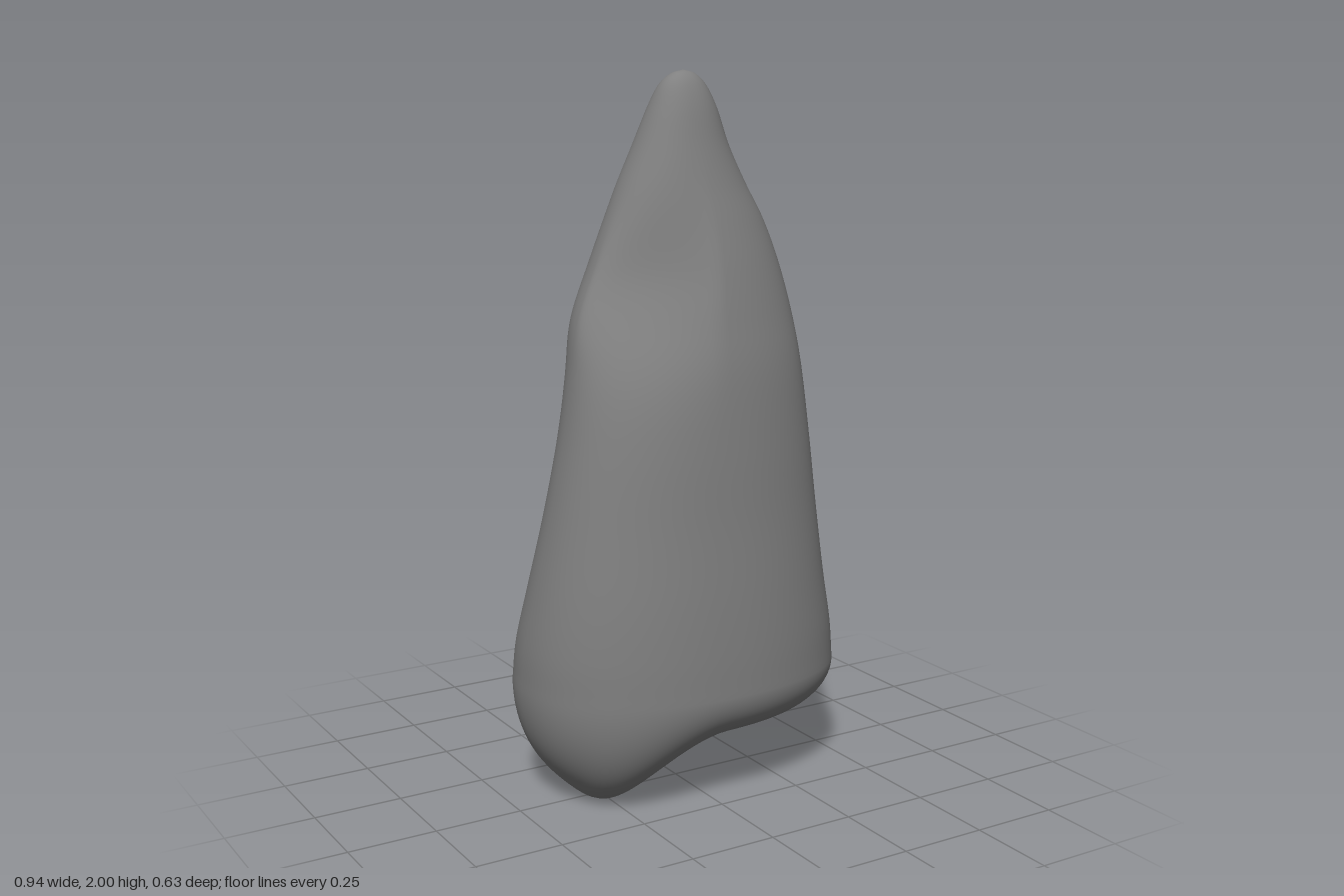
import * as THREE from 'three';
import { mergeVertices } from 'three/addons/utils/BufferGeometryUtils.js';

// Extents of the body from base to tip: y, left x, right x, front z, back z
const ROWS = [
  [0.33, -0.469, 0.467, 0.312, -0.302],
  [0.45, -0.464, 0.452, 0.308, -0.274],
  [0.6, -0.442, 0.42, 0.298, -0.226],
  [0.8, -0.406, 0.387, 0.28, -0.173],
  [1.0, -0.37, 0.36, 0.265, -0.14],
  [1.2, -0.334, 0.335, 0.245, -0.124],
  [1.34, -0.303, 0.315, 0.218, -0.127],
  [1.48, -0.243, 0.286, 0.185, -0.136],
  [1.6, -0.196, 0.247, 0.152, -0.134],
  [1.7, -0.157, 0.197, 0.123, -0.122],
  [1.8, -0.115, 0.15, 0.097, -0.099],
  [1.9, -0.075, 0.115, 0.073, -0.07],
  [1.96, -0.046, 0.084, 0.051, -0.043],
  [1.99, -0.014, 0.053, 0.029, -0.016],
  [2.0, 0.02, 0.02, 0.007, 0.007],
];
const SEG = 96, WALL = 90, CAP = 36;

const spline = new THREE.CubicInterpolant(ROWS.map((_, i) => i), ROWS.flat(), 5, new Float32Array(5));
const bell = (v, width) => Math.exp(-((v / width) ** 2));
const power = (v, e) => Math.sign(v) * Math.abs(v) ** e;

// Skewed oval section, squarer in front, with a soft slanted ridge across the back
function wallPoint(t, angle) {
  const [y, xl, xr, zf, zb] = spline.evaluate(t);
  const e = Math.sin(angle) > 0 ? 0.92 : 1;
  const c = power(Math.cos(angle), e), s = power(Math.sin(angle), e);
  const dx = c * (xr - xl) / 2;
  let x = (xl + xr) / 2 + dx;
  let z = (zf + zb) / 2 + s * (zf - zb) / 2 + dx * (0.1 - 0.08 * s);
  const ridge = bell(y - 1.48 - 0.35 * x, 0.19);
  z -= 0.03 * ridge * Math.max(0, -s);
  x -= 0.012 * ridge * Math.max(0, -c);
  // The upper front leans back on one side
  z += 0.11 * bell(y - 1.42, 0.2) * Math.min(0, c) * Math.max(0, s);
  return new THREE.Vector3(x, y, z);
}

// Underside: low cusp at one end, raised shelf at the other, a hollow between
function floorHeight(x, z) {
  const u = x + 0.38 * (z + 0.08);
  const shelf = THREE.MathUtils.smoothstep(u, -0.27, 0.15);
  const hollow = bell(x - 0.04, 0.17) * bell(z - 0.03, 0.15);
  const cusp = bell(x + 0.25, 0.1) * bell(z + 0.02, 0.19);
  return -0.01 + 0.175 * shelf + 0.035 * hollow - 0.035 * cusp;
}

// Rounds the wall's lower edge inward onto the underside
function capPoint(k, angle) {
  const p = wallPoint(0, angle);
  const s = Math.cos(k * Math.PI / 2);
  const drop = Math.sqrt(1 - s ** 3.5);
  const x = p.x * s, z = -0.02 + (p.z + 0.02) * s;
  return new THREE.Vector3(x, THREE.MathUtils.lerp(p.y, floorHeight(x, z), drop), z);
}

function bodyGeometry() {
  const pos = [], index = [];
  const rings = CAP + WALL;
  for (let r = 0; r <= rings; r++) {
    for (let j = 0; j < SEG; j++) {
      const a = j / SEG * Math.PI * 2;
      const p = r < CAP ? capPoint(1 - r / CAP, a)
        : wallPoint((r - CAP) / WALL * (ROWS.length - 1), a);
      pos.push(p.x, Math.max(0, p.y), p.z);
    }
  }
  for (let r = 0; r < rings; r++) {
    for (let j = 0; j < SEG; j++) {
      const n = (j + 1) % SEG;
      const a = r * SEG + j, b = r * SEG + n, c = a + SEG, d = b + SEG;
      index.push(a, c, b, b, c, d);
    }
  }
  const geo = new THREE.BufferGeometry();
  geo.setAttribute('position', new THREE.Float32BufferAttribute(pos, 3));
  geo.setIndex(index);
  const welded = mergeVertices(geo, 1e-5);
  welded.computeVertexNormals();
  return welded;
}

export function createModel() {
  const group = new THREE.Group();
  group.name = 'tooth';
  const body = new THREE.Mesh(bodyGeometry(), new THREE.MeshStandardMaterial({ color: 0x808080 }));
  body.name = 'toothBody';
  group.add(body);
  return group;
}
